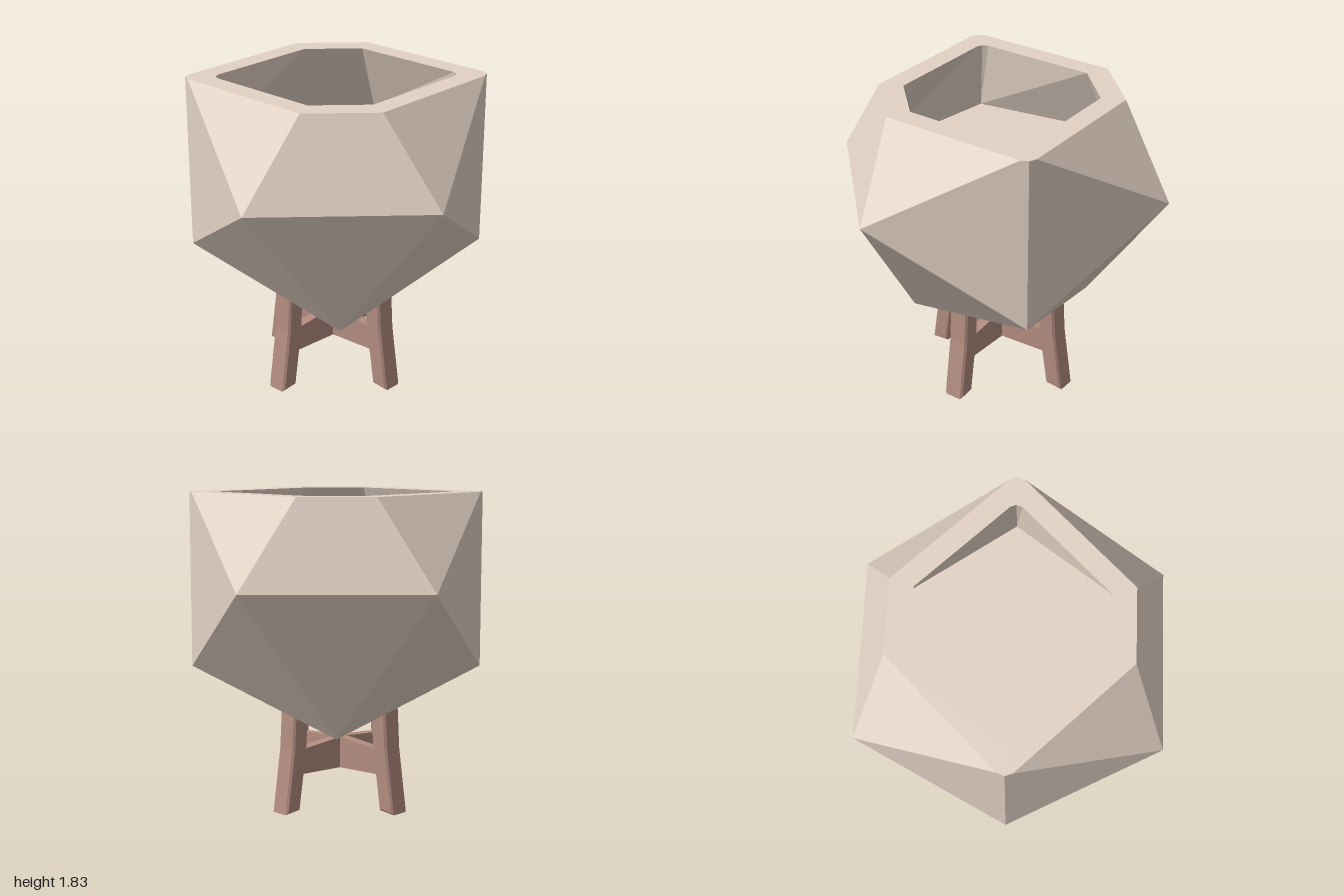
import * as THREE from 'three';

const CENTRE_Y = 1.33; // height of the faceted body's centre
const CUT = 0.5;       // opening height above that centre
const FLOOR = 0.08;    // cavity floor height above that centre
const TURN = Math.atan2(0.8507, 0.5257); // turn of the body about its axis

// Keep the part of a polygon below the opening
function clipBelow(poly) {
  const out = [];
  poly.forEach((a, i) => {
    const b = poly[(i + 1) % poly.length];
    if (a.y <= CUT) out.push(a);
    if ((a.y - CUT) * (b.y - CUT) < 0) {
      const p = a.clone().lerp(b, (CUT - a.y) / (b.y - a.y));
      p.y = CUT;
      out.push(p);
    }
  });
  return out;
}

function polygonsToGeometry(polys) {
  const pos = [];
  for (const p of polys) {
    for (let i = 1; i < p.length - 1; i++) {
      for (const v of [p[0], p[i], p[i + 1]]) pos.push(v.x, v.y, v.z);
    }
  }
  const g = new THREE.BufferGeometry();
  g.setAttribute('position', new THREE.Float32BufferAttribute(pos, 3));
  g.computeVertexNormals();
  g.rotateY(-TURN);
  return g;
}

function createPlanter(material) {
  const group = new THREE.Group();
  group.name = 'planter';

  // Icosahedron balanced on an edge, cut flat near the top
  const pos = new THREE.IcosahedronGeometry(1, 0).getAttribute('position');
  const outer = [];
  for (let i = 0; i < pos.count; i += 3) {
    const tri = [0, 1, 2].map(k => new THREE.Vector3().fromBufferAttribute(pos, i + k));
    const poly = clipBelow(tri);
    if (poly.length > 2) outer.push(poly);
  }

  // Flat rim, with cavity walls that widen down to a six-sided floor
  const onRim = v => Math.abs(v.y - CUT) < 1e-5;
  const inset = v => new THREE.Vector3(v.x * 0.8, CUT, v.z * 0.8);
  const floorPoint = v => Math.abs(v.x) > 0.3
    ? new THREE.Vector3(Math.sign(v.x) * 0.69, FLOOR, Math.sign(v.z) * 0.26)
    : new THREE.Vector3(0, FLOOR, Math.sign(v.z) * 0.76);
  const rim = [];
  const walls = [];
  for (const p of outer) {
    p.forEach((a, i) => {
      const b = p[(i + 1) % p.length];
      if (!onRim(a) || !onRim(b)) return;
      rim.push([b, a, inset(a), inset(b)]);
      walls.push([inset(b), inset(a), floorPoint(a), floorPoint(b)]);
    });
  }
  const floor = [[0.69, 0.26], [0.69, -0.26], [0, -0.76], [-0.69, -0.26], [-0.69, 0.26], [0, 0.76]]
    .map(([x, z]) => new THREE.Vector3(x, FLOOR, z));

  const parts = { outerShell: outer, rim, cavityWalls: walls, cavityFloor: [floor] };
  for (const [name, polys] of Object.entries(parts)) {
    const mesh = new THREE.Mesh(polygonsToGeometry(polys), material);
    mesh.name = name;
    mesh.position.y = CENTRE_Y;
    group.add(mesh);
  }
  return group;
}

// Side profile extruded to a centred thickness with chamfered edges
function plank(points, width, bevel) {
  const shape = new THREE.Shape(points.map(([x, y]) => new THREE.Vector2(x, y)));
  const depth = width - 2 * bevel;
  const g = new THREE.ExtrudeGeometry(shape, {
    depth, bevelEnabled: bevel > 0, bevelSize: bevel, bevelOffset: -bevel,
    bevelThickness: bevel, bevelSegments: 1,
  });
  g.translate(0, 0, -depth / 2);
  return g;
}

function createStand(material) {
  const stand = new THREE.Group();
  stand.name = 'stand';
  stand.position.set(-0.02, 0, 0.01);

  // Bent leg and tapered cross brace, repeated every quarter turn
  const legGeometry = plank(
    [[0.38, 0.01], [0.49, 0], [0.435, 0.37], [0.42, 0.61], [0.31, 0.59], [0.325, 0.36]], 0.125, 0.012);
  const braceGeometry = plank(
    [[0, 0.195], [0.36, 0.212], [0.36, 0.355], [0, 0.385]], 0.06, 0);
  for (let i = 0; i < 4; i++) {
    const arm = new THREE.Group();
    arm.name = 'standArm';
    arm.rotation.y = -0.24 + i * Math.PI / 2;
    const leg = new THREE.Mesh(legGeometry, material);
    leg.name = 'leg';
    const brace = new THREE.Mesh(braceGeometry, material);
    brace.name = 'crossBrace';
    arm.add(leg, brace);
    stand.add(arm);
  }
  return stand;
}

export function createModel() {
  const clay = new THREE.MeshStandardMaterial({ color: 0xe3d2c5 });
  clay.name = 'beigeClay';
  const wood = new THREE.MeshStandardMaterial({ color: 0xb48d81 });
  wood.name = 'reddishWood';

  const model = new THREE.Group();
  model.name = 'facetedPlanter';
  model.add(createPlanter(clay), createStand(wood));
  return model;
}
